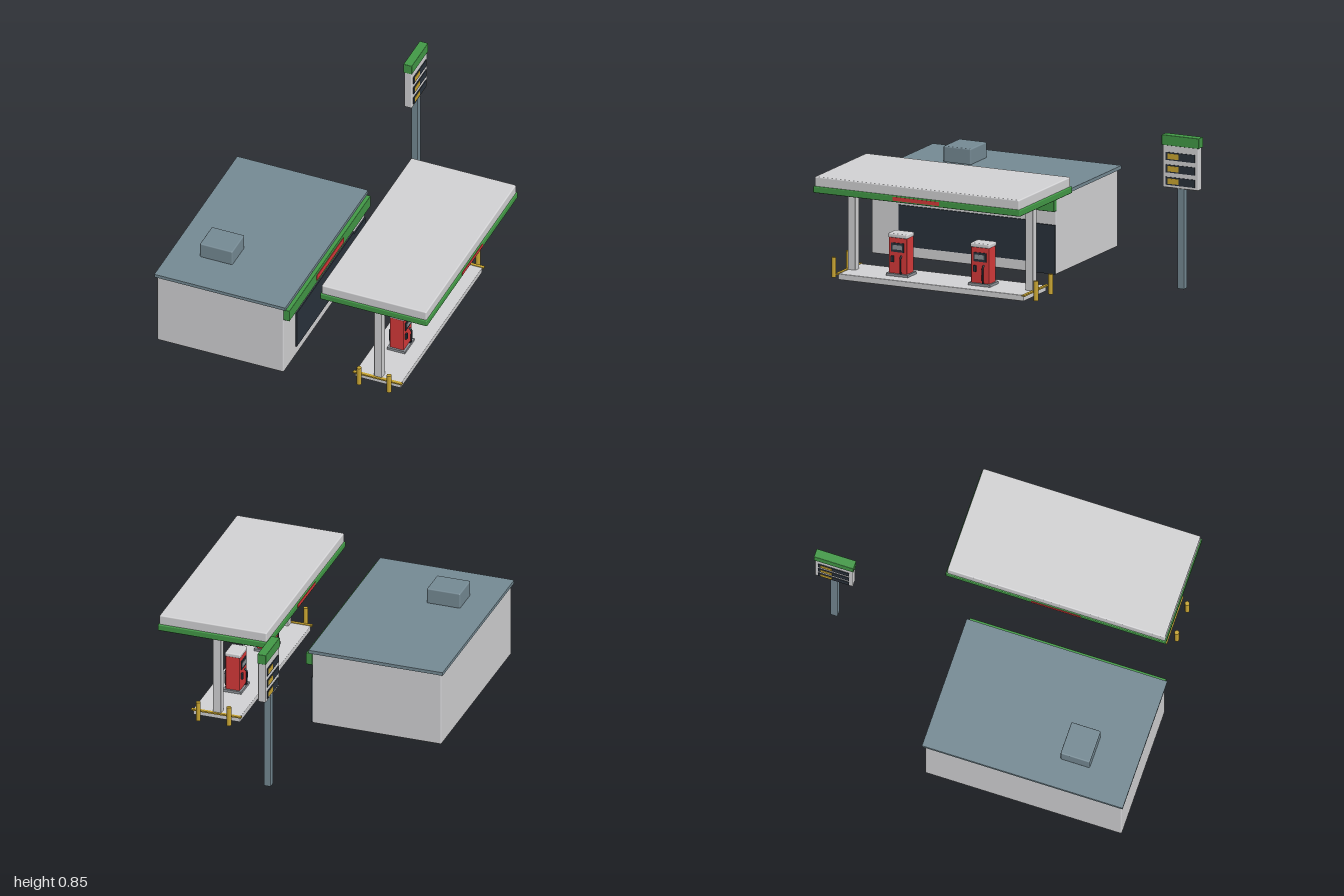
import * as THREE from 'three';
import { RoundedBoxGeometry } from 'three/addons/geometries/RoundedBoxGeometry.js';

function material(name, color) {
  const m = new THREE.MeshStandardMaterial({ color });
  m.name = name;
  return m;
}

const white = material('painted white', 0xd4d4d6);
const green = material('trim green', 0x439a47);
const slate = material('slate grey', 0x768b95);
const dark = material('dark glass', 0x2a323c);
const red = material('signal red', 0xd83a3a);
const yellow = material('safety yellow', 0xcaa632);
const lamp = material('lamp cream', 0xe8e6dc);
const grey = material('mid grey', 0x90959a);

// Box between two limits on each axis, optionally with softened edges
function box(parent, name, mat, [x0, x1], [y0, y1], [z0, z1], radius = 0) {
  const size = [x1 - x0, y1 - y0, z1 - z0];
  const geometry = radius ? new RoundedBoxGeometry(...size, 2, radius) : new THREE.BoxGeometry(...size);
  const mesh = new THREE.Mesh(geometry, mat);
  mesh.position.set((x0 + x1) / 2, (y0 + y1) / 2, (z0 + z1) / 2);
  mesh.name = name;
  parent.add(mesh);
  return mesh;
}

function group(parent, name, x = 0, y = 0, z = 0) {
  const g = new THREE.Group();
  g.name = name;
  g.position.set(x, y, z);
  parent.add(g);
  return g;
}

function createShop(parent) {
  const shop = group(parent, 'shop');
  box(shop, 'shopWalls', white, [-0.777, -0.034], [0, 0.43], [-0.132, 0.987], 0.007);
  box(shop, 'shopRoof', slate, [-0.79, -0.02], [0.43, 0.449], [-0.147, 0.997]);
  box(shop, 'roofUnit', slate, [-0.626, -0.434], [0.445, 0.536], [0.588, 0.755], 0.007);
  box(shop, 'shopFascia', green, [-0.036, 0], [0.355, 0.425], [-0.135, 0.985], 0.003);
  box(shop, 'fasciaPanel', red, [-0.001, 0.003], [0.372, 0.406], [0.24, 0.612]);
  box(shop, 'shopWindow', dark, [-0.035, -0.027], [0.06, 0.288], [0.03, 0.82]);
  box(shop, 'shopDoor', dark, [-0.035, -0.026], [0.002, 0.275], [-0.128, 0.035]);
}

function createCanopy(parent) {
  const canopy = group(parent, 'canopy');
  box(canopy, 'canopyTrim', green, [0.155, 0.785], [0.515, 0.552], [-0.327, 0.929], 0.006);
  box(canopy, 'canopyTop', white, [0.161, 0.778], [0.545, 0.605], [-0.318, 0.922], 0.007);
  // Red panels on both long sides
  for (const x of [0.153, 0.784]) {
    box(canopy, 'canopyPanel', red, [x, x + 0.003], [0.524, 0.545], [0.163, 0.444]);
  }
  // Eight square lamps underneath
  for (const x of [0.308, 0.632]) {
    for (let i = 0; i < 4; i++) {
      const z = 0.3 + (i - 1.5) * 0.28;
      box(canopy, 'canopyLamp', lamp, [x - 0.058, x + 0.058], [0.508, 0.517], [z - 0.065, z + 0.065]);
    }
  }
  for (const z of [0.843, -0.234]) {
    box(canopy, 'canopyColumn', white, [0.446, 0.492], [0.03, 0.52], [z - 0.023, z + 0.023], 0.004);
  }
}

function createPump(parent, z) {
  const pump = group(parent, 'pump', 0.47, 0.033, z);
  box(pump, 'pumpBase', grey, [-0.053, 0.053], [0, 0.015], [-0.066, 0.066]);
  box(pump, 'pumpBody', red, [-0.041, 0.041], [0.012, 0.216], [-0.055, 0.055], 0.004);
  box(pump, 'pumpCap', white, [-0.045, 0.045], [0.212, 0.236], [-0.058, 0.058], 0.007);
  // Same controls on each face, turned half a circle
  for (const turn of [0, Math.PI]) {
    const face = group(pump, 'pumpControls');
    face.rotation.y = turn;
    box(face, 'screenFrame', dark, [0.04, 0.046], [0.135, 0.185], [-0.038, 0.038]);
    box(face, 'screen', grey, [0.045, 0.048], [0.149, 0.174], [-0.029, 0.029]);
    box(face, 'nozzleHolder', dark, [0.04, 0.052], [0.078, 0.112], [0.022, 0.037]);
    const hose = new THREE.CatmullRomCurve3([
      new THREE.Vector3(0.041, 0.115, -0.022),
      new THREE.Vector3(0.053, 0.102, -0.022),
      new THREE.Vector3(0.054, 0.06, -0.022),
      new THREE.Vector3(0.05, 0.02, -0.022),
      new THREE.Vector3(0.041, 0.013, -0.022),
    ]);
    const tube = new THREE.Mesh(new THREE.TubeGeometry(hose, 16, 0.005, 8), dark);
    tube.name = 'hose';
    face.add(tube);
  }
}

function createIsland(parent) {
  const island = group(parent, 'pumpIsland');
  box(island, 'islandSlab', white, [0.335, 0.605], [0, 0.034], [-0.258, 0.868], 0.004);
  for (const [end, post] of [[0.87, 0.918], [-0.26, -0.308]]) {
    box(island, 'islandEdgeStrip', yellow, [0.326, 0.614], [0.029, 0.037], [end - 0.009, end + 0.009]);
    for (const x of [0.381, 0.557]) {
      const bollard = new THREE.Mesh(new THREE.CylinderGeometry(0.013, 0.013, 0.11, 16), yellow);
      bollard.position.set(x, 0.055, post);
      bollard.name = 'bollard';
      island.add(bollard);
    }
  }
  createPump(island, 0.553);
  createPump(island, 0.054);
}

function createPriceSign(parent) {
  const sign = group(parent, 'priceSign', -0.055, 0, -0.886);
  box(sign, 'signPole', slate, [-0.019, 0.019], [0, 0.565], [-0.02, 0.02], 0.003);
  box(sign, 'signBoard', white, [-0.022, 0.022], [0.557, 0.795], [-0.108, 0.108], 0.005);
  box(sign, 'signHeader', green, [-0.025, 0.025], [0.792, 0.849], [-0.113, 0.113], 0.003);
  // Three price rows on each face
  for (const turn of [0, Math.PI]) {
    const face = group(sign, 'signFace');
    face.rotation.y = turn;
    for (const y of [0.595, 0.664, 0.733]) {
      box(face, 'pricePanel', dark, [0.021, 0.026], [y - 0.022, y + 0.022], [-0.088, 0.088]);
      box(face, 'priceMark', yellow, [0.025, 0.028], [y - 0.015, y + 0.015], [0.01, 0.075]);
    }
  }
}

export function createModel() {
  const model = new THREE.Group();
  model.name = 'fuelStation';
  createShop(model);
  createCanopy(model);
  createIsland(model);
  createPriceSign(model);
  return model;
}
